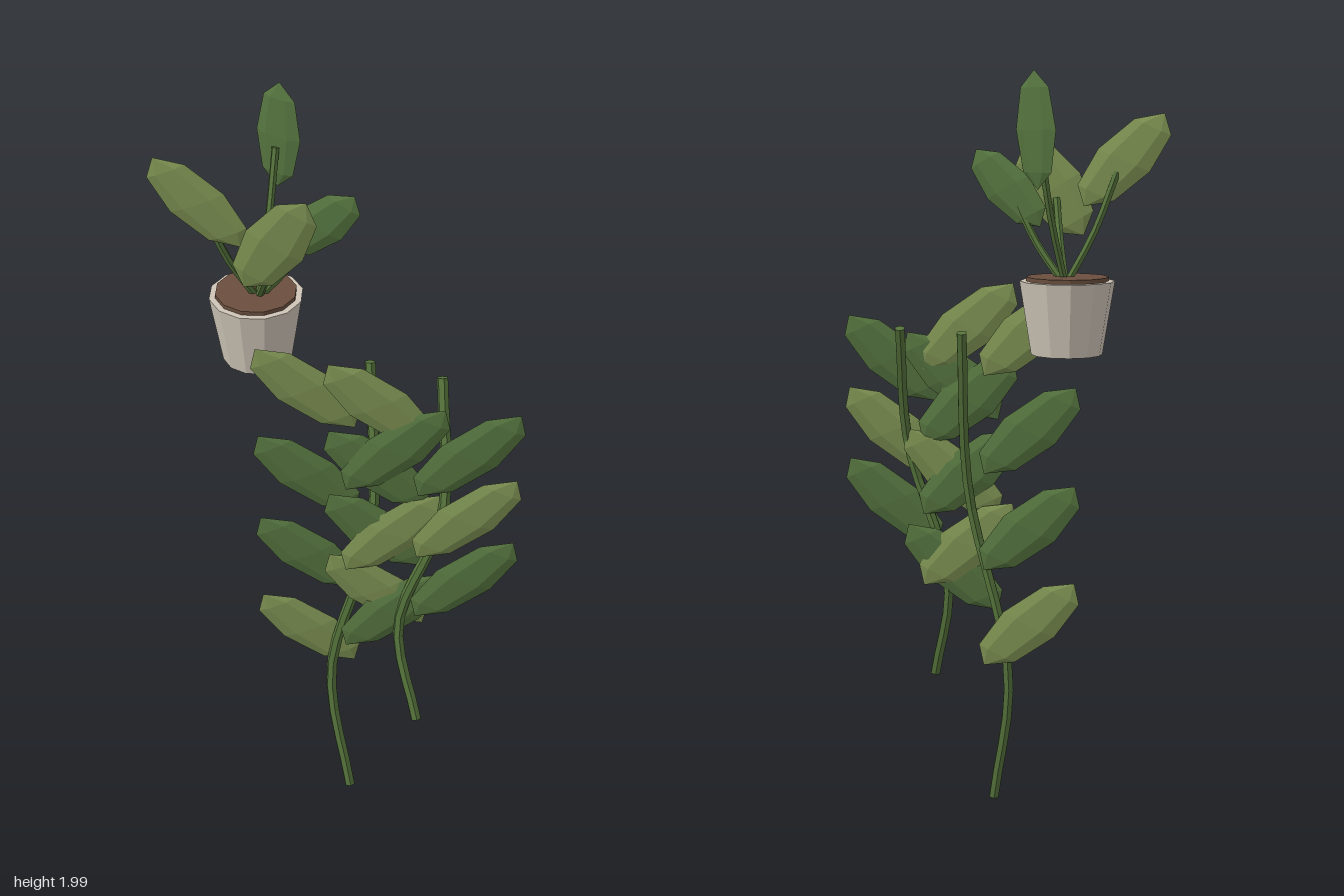
import * as THREE from 'three';

const mat = (color) => new THREE.MeshStandardMaterial({ color, flatShading: true });
const V = (a) => new THREE.Vector3(...a);

export function createModel() {
  const model = new THREE.Group();
  model.name = 'pottedAndHangingPlants';
  const lightGreen = mat(0x7d9152), darkGreen = mat(0x55743f), stemGreen = mat(0x56743c);
  const potMat = mat(0xcfc6b8), soilMat = mat(0x6b4f3f);

  const add = (parent, name, geometry, material) => {
    const m = new THREE.Mesh(geometry, material);
    m.name = name;
    parent.add(m);
    return m;
  };

  // Flattened low-poly ellipsoid: p is its half length, q its half width
  const leaf = (parent, name, centre, p, q, material) => {
    const P = V(p), Q = V(q);
    const N = new THREE.Vector3().crossVectors(Q, P).setLength(0.0135);
    const g = new THREE.SphereGeometry(1, 6, 4);
    g.applyMatrix4(new THREE.Matrix4().makeBasis(Q, P, N));
    g.computeVertexNormals();
    add(parent, name, g, material).position.set(...centre);
  };

  // Tapering-free stalk with closed ends
  const stalk = (parent, name, points, radius, steps) => {
    const curve = new THREE.CatmullRomCurve3(points.map(V));
    add(parent, name, new THREE.TubeGeometry(curve, steps, radius, 6), stemGreen);
    for (const t of [0, 1]) {
      const cap = new THREE.CircleGeometry(radius, 6);
      const dir = curve.getTangent(t).multiplyScalar(t ? 1 : -1);
      const m = add(parent, name + 'End', cap, stemGreen);
      m.quaternion.setFromUnitVectors(new THREE.Vector3(0, 0, 1), dir);
      m.position.copy(curve.getPoint(t));
    }
  };

  // Pot and soil
  const pottedPlant = new THREE.Group();
  pottedPlant.name = 'pottedPlant';
  model.add(pottedPlant);
  add(pottedPlant, 'pot', new THREE.CylinderGeometry(0.12, 0.09, 0.185, 12), potMat)
    .position.set(-0.26, 1.39, -0.025);
  add(pottedPlant, 'soil', new THREE.CylinderGeometry(0.104, 0.104, 0.03, 12), soilMat)
    .position.set(-0.26, 1.478, -0.025);

  // Four leaves on arching stems
  const root = [-0.255, 1.47, -0.025];
  const potLeaves = [
    { c: [-0.365, 1.78, 0.077], p: [-0.1, 0.116, 0.02], q: [0.065, 0.028, -0.013], m: lightGreen, end: [-0.35, 1.75, 0.07] },
    { c: [-0.165, 1.705, 0.09], p: [0.075, 0.118, -0.02], q: [-0.065, 0.04, 0.017], m: lightGreen, end: [-0.175, 1.68, 0.083] },
    { c: [-0.092, 1.71, -0.025], p: [0.092, 0.095, 0], q: [-0.058, 0.03, 0], m: darkGreen, end: [-0.11, 1.69, -0.025] },
    { c: [-0.243, 1.857, -0.17], p: [0.006, 0.143, 0], q: [0.063, 0, 0.018], m: darkGreen, end: [-0.246, 1.83, -0.156] },
  ];
  for (const { c, p, q, m, end } of potLeaves) {
    const mid = root.map((r, i) => r + (end[i] - r) * (i === 1 ? 0.47 : 0.56));
    stalk(pottedPlant, 'stem', [root, mid, end], 0.01, 6);
    leaf(pottedPlant, 'potLeaf', c, p, q, m);
  }

  // Two trailing vines: same plan, the first a third longer
  const top = 1.335;
  const vines = [
    { x: 0, length: 1.33, dz: 0, name: 'longVine' },
    { x: 0.193, length: 1, dz: 0.012, name: 'shortVine' },
  ];
  for (const { x, length, dz, name } of vines) {
    const vine = new THREE.Group();
    vine.name = name;
    model.add(vine);
    const y = (t) => top - t * length;
    stalk(vine, 'vineStem', [
      [x + 0.04, y(0), dz - 0.03],
      [x + 0.085, y(0.33), dz + 0.088],
      [x - 0.018, y(0.71), dz + 0.125],
      [x + 0.05, y(0.995), dz + 0.17],
    ], 0.0145, 16);
    // Right-hand row of four, left-hand row of three
    for (let i = 0; i < 4; i++) {
      leaf(vine, 'rightLeaf', [x - 0.08, y(0.005 + i * 0.199), dz + 0.124],
        [-0.117, 0.119, 0.038], [0.066, 0.032, -0.021], i % 3 ? darkGreen : lightGreen);
    }
    for (let i = 0; i < 3; i++) {
      leaf(vine, 'leftLeaf', [x + 0.156, y(0.105 + i * 0.199), dz + 0.131],
        [0.115, 0.117, -0.045], [-0.066, 0.032, 0.021], i === 1 ? lightGreen : darkGreen);
    }
  }
  return model;
}
